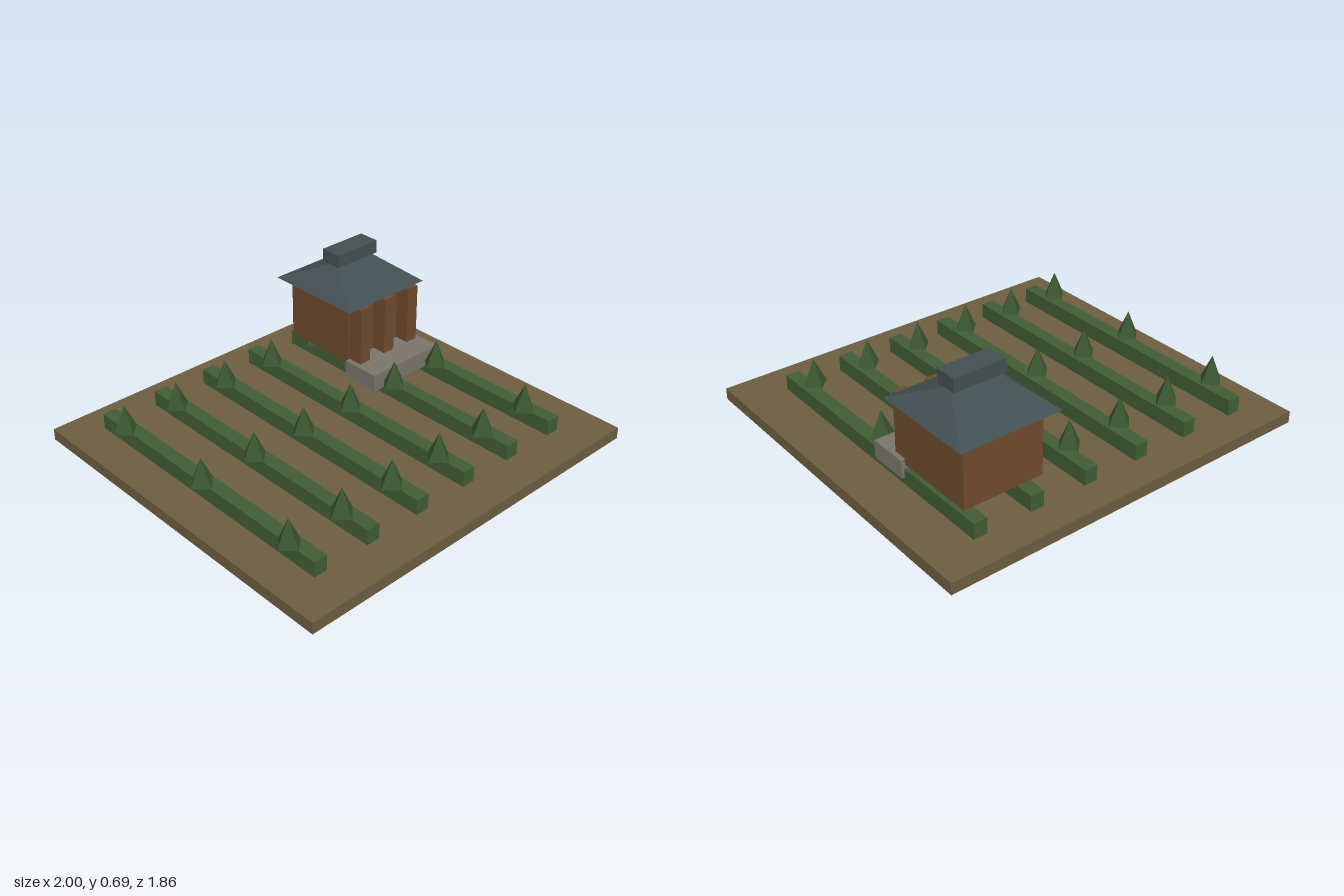
import * as THREE from 'three';

const mat = (name, color, extra = {}) => {
  const m = new THREE.MeshStandardMaterial({ color, flatShading: true, ...extra });
  m.name = name;
  return m;
};

export function createModel() {
  const soil = mat('soil', 0x6b5e40, { side: THREE.DoubleSide });
  const hedgeGreen = mat('hedgeGreen', 0x405c35);
  const treeGreen = mat('treeGreen', 0x3b5731);
  const wood = mat('wood', 0x6d4a2c);
  const slate = mat('slate', 0x424f51);
  const stone = mat('stone', 0x79756b);

  const model = new THREE.Group();
  model.name = 'farmPlot';

  // Box given by its minimum and maximum corners
  const box = (name, material, [x0, y0, z0], [x1, y1, z1], parent = model) => {
    const mesh = new THREE.Mesh(new THREE.BoxGeometry(x1 - x0, y1 - y0, z1 - z0), material);
    mesh.position.set((x0 + x1) / 2, (y0 + y1) / 2, (z0 + z1) / 2);
    mesh.name = name;
    parent.add(mesh);
    return mesh;
  };

  // Ground slab, a shell that is open underneath
  const ground = box('ground', soil, [-1, 0, -0.93], [1, 0.06, 0.93]);
  const faces = Array.from(ground.geometry.index.array);
  faces.splice(18, 6);
  ground.geometry.setIndex(faces);
  ground.geometry.clearGroups();

  // Hedge rows, each with three four-sided trees
  const treeShape = new THREE.ConeGeometry(0.064, 0.135, 4);
  for (let i = 0; i < 6; i++) {
    const x = -0.813 + i * 0.302;
    const row = new THREE.Group();
    row.name = 'hedgeRow';
    model.add(row);
    box('hedge', hedgeGreen, [x, 0.06, -0.77], [x + 0.07, 0.14, 0.737], row);
    for (const z of [-0.583, 0, 0.58]) {
      const tree = new THREE.Mesh(treeShape, treeGreen);
      tree.position.set(x, 0.2095, z);
      tree.name = 'tree';
      row.add(tree);
    }
  }

  // House with front posts and a stone step
  const house = new THREE.Group();
  house.name = 'house';
  model.add(house);
  box('walls', wood, [0.348, 0.165, -0.703], [0.765, 0.495, -0.28], house);
  for (const x of [0.39, 0.557, 0.724]) {
    box('post', wood, [x - 0.034, 0.165, -0.28], [x + 0.034, 0.495, -0.2], house);
  }
  box('step', stone, [0.327, 0.097, -0.278], [0.783, 0.188, -0.07], house);

  // Hipped roof: a box whose top is pinched into a short ridge
  const roofShape = new THREE.BoxGeometry(0.522, 0.128, 0.542);
  const p = roofShape.attributes.position;
  for (let i = 0; i < p.count; i++) {
    if (p.getY(i) > 0) {
      p.setX(i, Math.sign(p.getX(i)) * 0.11);
      p.setZ(i, 0);
    }
  }
  roofShape.computeVertexNormals();
  const roof = new THREE.Mesh(roofShape, slate);
  roof.position.set(0.557, 0.558, -0.49);
  roof.name = 'roof';
  house.add(roof);
  box('roofCap', slate, [0.421, 0.622, -0.548], [0.691, 0.69, -0.434], house);

  return model;
}
